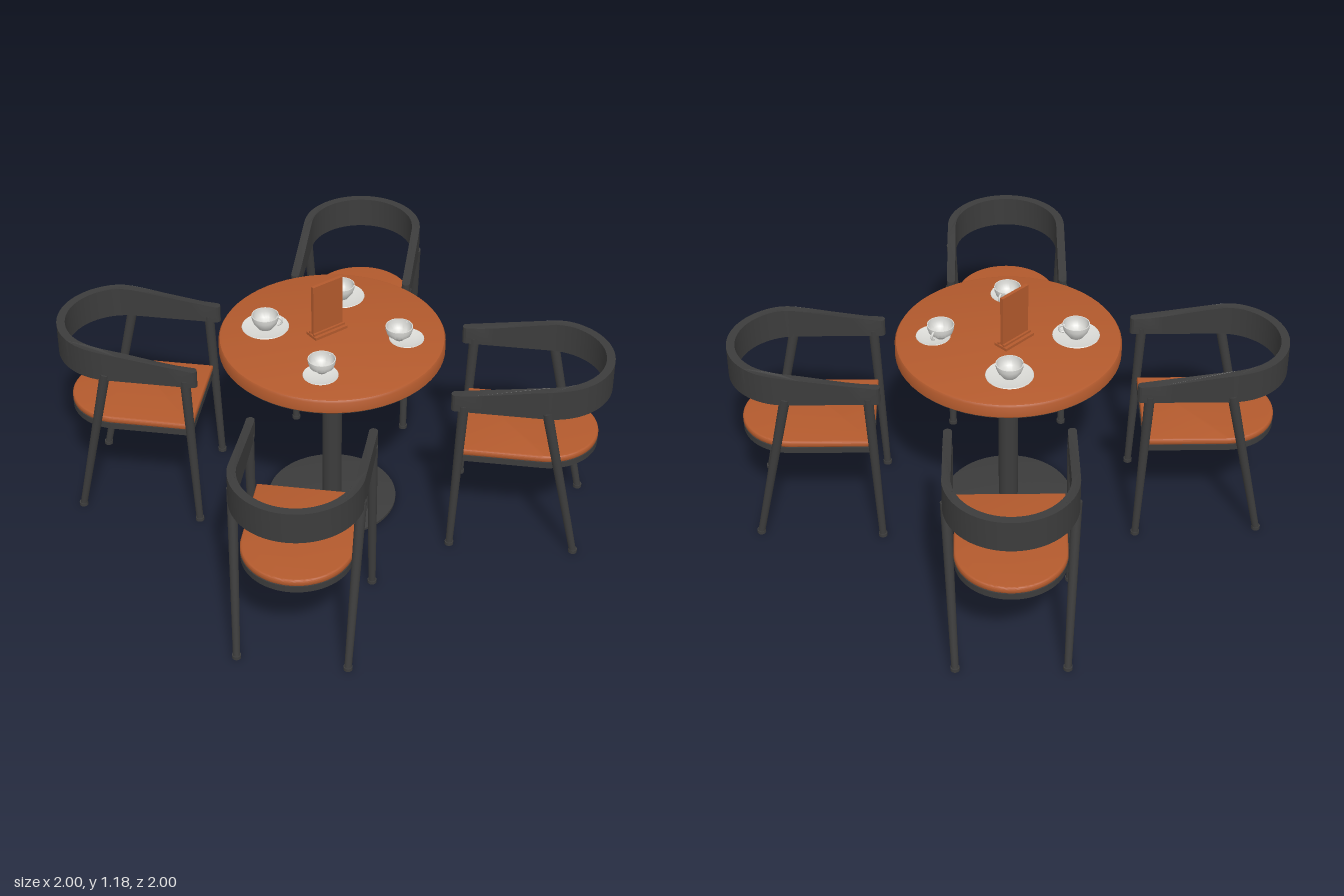
import * as THREE from 'three';
import { toCreasedNormals } from 'three/addons/utils/BufferGeometryUtils.js';

const material = (name, color) => {
  const m = new THREE.MeshStandardMaterial({ color });
  m.name = name;
  return m;
};

export function createModel() {
  const orange = material('orange wood', 0xb35a2d);
  const dark = material('dark metal', 0x3c3c3c);
  const white = material('white china', 0xdadad6);
  const root = new THREE.Group();
  root.name = 'cafeTableSet';

  const add = (parent, name, geometry, mat, x = 0, y = 0, z = 0) => {
    const mesh = new THREE.Mesh(geometry, mat);
    mesh.name = name;
    mesh.position.set(x, y, z);
    parent.add(mesh);
    return mesh;
  };
  const lathe = (points, segments = 48) =>
    toCreasedNormals(new THREE.LatheGeometry(points.map(([r, y]) => new THREE.Vector2(r, y)), segments), 0.6);
  // Extrudes a plan outline upwards, with plan y pointing to -z
  const slab = (shape, depth, bevel = 0) => {
    const g = new THREE.ExtrudeGeometry(shape, {
      depth: depth - 2 * bevel, curveSegments: 32, bevelEnabled: bevel > 0,
      bevelSize: bevel, bevelThickness: bevel, bevelOffset: -bevel, bevelSegments: 3,
    });
    return g.rotateX(-Math.PI / 2).translate(0, bevel, 0);
  };

  // Table
  const table = new THREE.Group();
  table.name = 'table';
  root.add(table);
  add(table, 'tableTop', lathe([[0.5, 0.852], [0.506, 0.858], [0.506, 0.908], [0.5, 0.918], [0.49, 0.921], [0, 0.921]], 64), orange);
  add(table, 'tableUnderside', lathe([[0, 0.85], [0.5, 0.85], [0.5, 0.853]], 64), dark);
  add(table, 'tableColumn', new THREE.CylinderGeometry(0.045, 0.045, 0.835, 32), dark, 0, 0.435, 0);
  add(table, 'tableBase', lathe([[0, 0], [0.3, 0], [0.3, 0.012], [0.2, 0.026], [0.06, 0.032], [0, 0.032]], 64), dark);

  // Menu board in its holder
  const menu = new THREE.Group();
  menu.name = 'menuStand';
  menu.position.set(-0.003, 0.92, -0.034);
  root.add(menu);
  add(menu, 'menuHolder', new THREE.BoxGeometry(0.176, 0.014, 0.072), orange, 0, 0.007, 0);
  for (const s of [-1, 1]) {
    add(menu, 'holderLip', new THREE.BoxGeometry(0.17, 0.012, 0.01), orange, 0, 0.018, s * 0.016);
  }
  add(menu, 'menuBoard', new THREE.BoxGeometry(0.16, 0.25, 0.016), orange, 0, 0.135, 0);

  // Cups and saucers
  const cupSet = (x, z, turn, saucerRadius, shift, foot) => {
    const set = new THREE.Group();
    set.name = 'cupAndSaucer';
    set.position.set(x, 0.921, z);
    root.add(set);
    const r = saucerRadius;
    add(set, 'saucer', lathe([[0, 0], [r * 0.6, 0], [r, 0.012], [r * 0.98, 0.015], [r * 0.6, 0.006], [0, 0.006]]),
      white, Math.sign(x) * shift, 0, shift);
    const cup = new THREE.Group();
    cup.name = 'cup';
    cup.rotation.y = turn;
    set.add(cup);
    add(cup, 'cupBowl', lathe([[0, 0.006], [foot, 0.006], [foot + 0.008, 0.017], [0.053, 0.035], [0.06, 0.056],
      [0.061, 0.073], [0.057, 0.073], [0.055, 0.055], [0.045, 0.032], [0.025, 0.018], [0, 0.016]], 32), white);
    const handle = add(cup, 'cupHandle', new THREE.TorusGeometry(0.018, 0.005, 8, 20, Math.PI * 1.2), white, 0.058, 0.046, 0);
    handle.rotation.z = -Math.PI * 0.6;
  };
  cupSet(-0.213, -0.213, -Math.PI / 4, 0.106, 0, 0.032);
  cupSet(0.21, -0.213, -Math.PI * 0.75, 0.106, 0, 0.032);
  cupSet(-0.212, 0.212, 0.25, 0.078, 0.024, 0.022);
  cupSet(0.212, 0.212, Math.PI * 0.08, 0.078, 0.024, 0.022);

  // Chair dimensions; z is the distance outwards from the table centre
  const centre = 0.972, radius = 0.264, half = 0.019, tip = 0.582;

  // Curved back rail with arms, lower towards the tips
  const rail = new THREE.Shape();
  const outer = radius + half, inner = radius - half;
  rail.moveTo(outer, -tip);
  for (let i = 1; i <= 6; i++) rail.lineTo(outer, -tip - (centre - tip) * i / 6);
  rail.absarc(0, -centre, outer, 0, -Math.PI, true);
  for (let i = 5; i >= 0; i--) rail.lineTo(-outer, -tip - (centre - tip) * i / 6);
  rail.absarc(-radius, -tip, half, Math.PI, 0, true);
  for (let i = 1; i <= 6; i++) rail.lineTo(-inner, -tip - (centre - tip) * i / 6);
  rail.absarc(0, -centre, inner, -Math.PI, 0, false);
  for (let i = 5; i >= 0; i--) rail.lineTo(inner, -tip - (centre - tip) * i / 6);
  rail.absarc(radius, -tip, half, Math.PI, 0, true);
  let railGeometry = slab(rail, 1);
  const p = railGeometry.attributes.position;
  for (let i = 0; i < p.count; i++) {
    const top = 0.845 + 0.065 * THREE.MathUtils.smoothstep(p.getZ(i), 0.56, 1.08);
    p.setY(i, p.getY(i) > 0.5 ? top : 0.763);
  }
  railGeometry = toCreasedNormals(railGeometry, 0.6);

  // Seat outline: straight front, round back
  const seat = new THREE.Shape();
  seat.moveTo(0.24, -0.605);
  seat.lineTo(0.24, -centre);
  seat.absarc(0, -centre, 0.24, 0, -Math.PI, true);
  seat.lineTo(-0.24, -0.605);
  seat.closePath();
  const seatPan = toCreasedNormals(slab(seat, 0.03), 0.6);
  const cushion = toCreasedNormals(slab(seat, 0.032, 0.01), 0.6);

  const addLeg = (chair, name, foot, top) => {
    const a = new THREE.Vector3(...foot), b = new THREE.Vector3(...top);
    const dir = b.clone().sub(a);
    const leg = add(chair, name, new THREE.CylinderGeometry(0.023, 0.016, dir.length(), 16), dark);
    leg.position.copy(a).add(b).multiplyScalar(0.5);
    leg.quaternion.setFromUnitVectors(new THREE.Vector3(0, 1, 0), dir.normalize());
    add(chair, 'footPad', new THREE.CylinderGeometry(0.02, 0.02, 0.016, 16), dark, foot[0], 0.008, foot[2]);
  };

  // Four chairs on the diagonals
  for (let k = 0; k < 4; k++) {
    const chair = new THREE.Group();
    chair.name = 'chair';
    chair.rotation.y = Math.PI / 4 + k * Math.PI / 2;
    root.add(chair);
    add(chair, 'backRail', railGeometry, dark);
    add(chair, 'seatPan', seatPan, dark, 0, 0.463, 0);
    add(chair, 'seatCushion', cushion, orange, 0, 0.492, 0);
    for (const s of [-1, 1]) {
      addLeg(chair, 'frontLeg', [s * 0.268, 0.006, 0.582], [s * 0.265, 0.79, 0.618]);
      addLeg(chair, 'backLeg', [s * 0.24, 0.006, 1.145], [s * 0.268, 0.79, 0.98]);
    }
  }
  return root;
}
